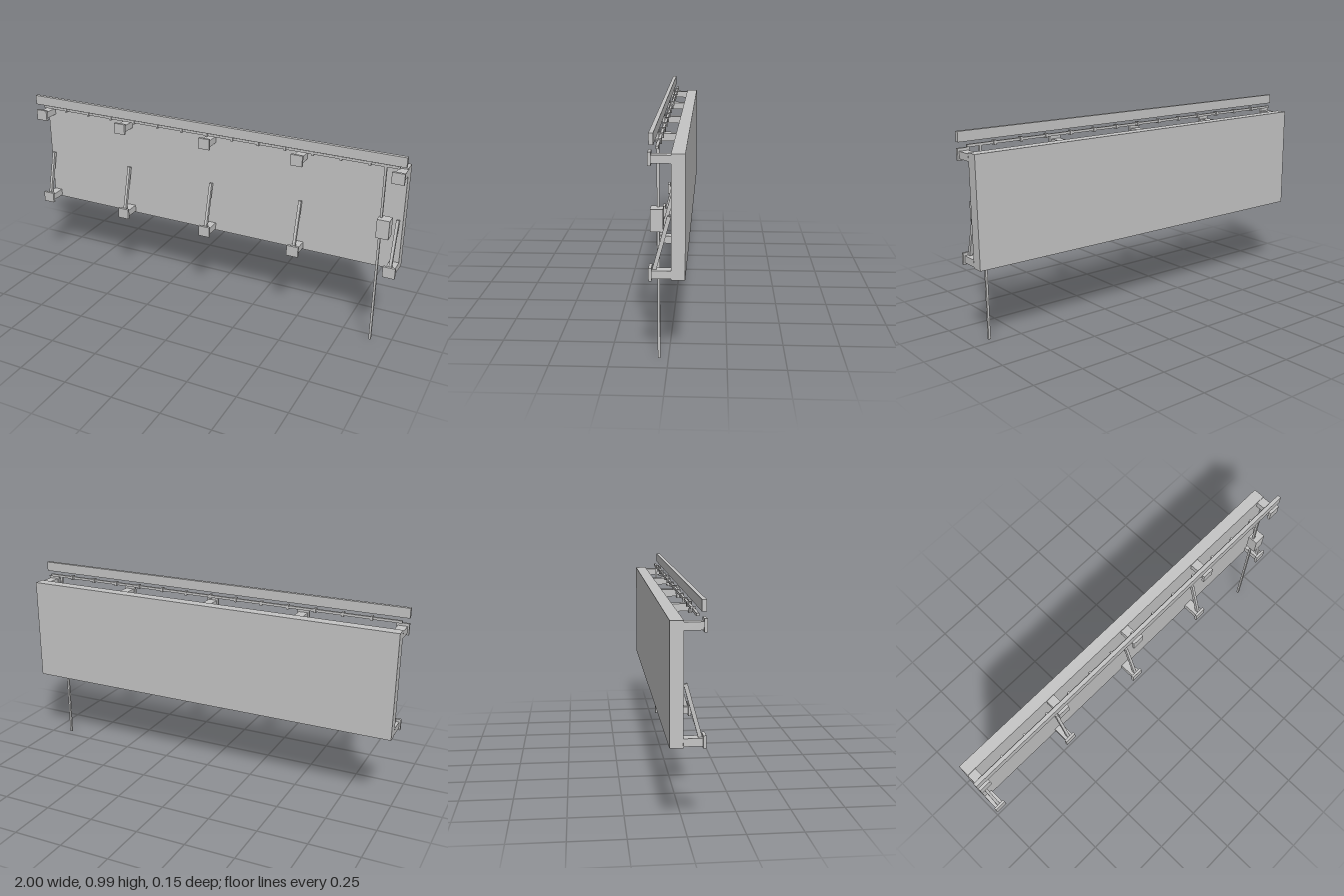
import * as THREE from 'three';

export function createModel() {
  const group = new THREE.Group();
  const grey = new THREE.MeshStandardMaterial({ color: 0xc4c4c4 });
  grey.name = 'light grey';

  // Box given by its [min, max] range on each axis
  function box(name, [x0, x1], [y0, y1], [z0, z1], parent = group) {
    const mesh = new THREE.Mesh(new THREE.BoxGeometry(x1 - x0, y1 - y0, z1 - z0), grey);
    mesh.position.set((x0 + x1) / 2, (y0 + y1) / 2, (z0 + z1) / 2);
    mesh.name = name;
    parent.add(mesh);
    return mesh;
  }
  const around = (c, w) => [c - w / 2, c + w / 2];

  // Main wall panel
  box('panel', [-0.99, 0.99], [0.383, 0.909], [-0.074, -0.017]);

  // Top rail
  box('topRail', [-1, 1], [0.945, 0.993], [0.052, 0.071]);

  // Bracket stations: upper and lower arms with face plates, plus a leaning strut
  for (let i = -2; i <= 2; i++) {
    const x = i * 0.484;
    const bracket = new THREE.Group();
    bracket.name = 'bracket';
    group.add(bracket);
    for (const [arm, plate] of [[[0.869, 0.903], [0.861, 0.916]], [[0.389, 0.423], [0.381, 0.436]]]) {
      box('arm', around(x, 0.045), arm, [-0.018, 0.064], bracket);
      box('facePlate', around(x, 0.06), plate, [0.063, 0.076], bracket);
    }
    const bottom = new THREE.Vector2(0.056, 0.415), top = new THREE.Vector2(-0.008, 0.648);
    const d = top.clone().sub(bottom);
    const strut = new THREE.Mesh(new THREE.BoxGeometry(0.014, d.length(), 0.017), grey);
    strut.position.set(x, (bottom.y + top.y) / 2, (bottom.x + top.x) / 2);
    strut.rotation.x = Math.atan2(d.x, d.y);
    strut.name = 'strut';
    bracket.add(strut);
  }

  // Drive shaft with its small collars
  box('shaft', [-0.97, 0.965], [0.922, 0.934], [0.034, 0.046]);
  for (let i = -6; i <= 6; i++) {
    box('collar', around(i * 0.138, 0.011), [0.917, 0.939], [0.029, 0.051]);
  }

  // Hanging rod and its box
  box('hangingRod', around(0.9, 0.011), [0, 0.93], [0.0345, 0.0455]);
  box('controlBox', [0.888, 0.949], [0.575, 0.67], [0.018, 0.071]);

  return group;
}
